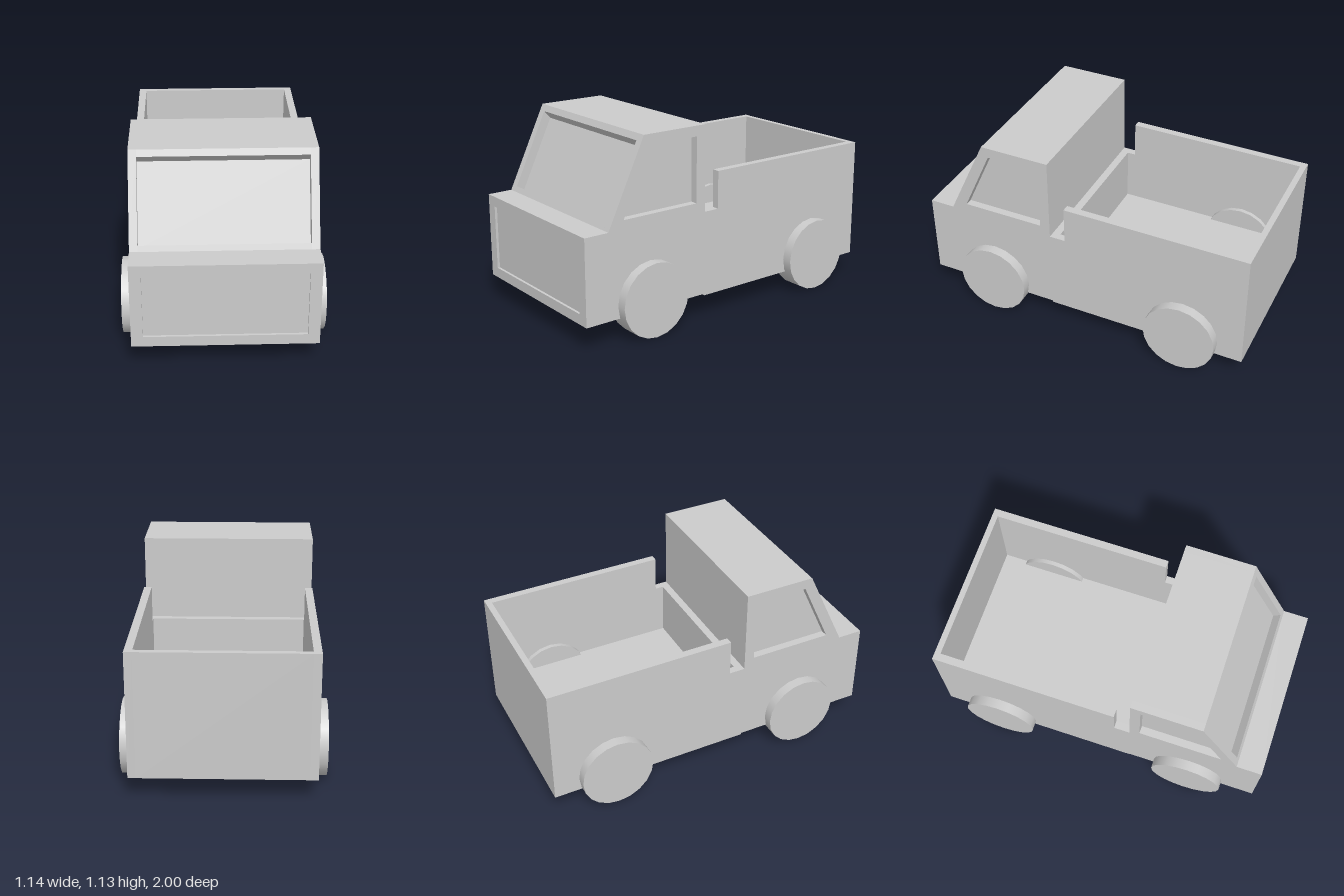
import * as THREE from 'three';

const HALF = 0.51;   // half width of the body
const INNER = 0.465; // where the side walls meet the core

const material = new THREE.MeshStandardMaterial({ color: 0xcccccc });

// Extrude a side profile of [z, y] points between two x positions
function slab(name, points, x0, x1, hole) {
  const toVectors = (list) => list.map(([z, y]) => new THREE.Vector2(z, y));
  const shape = new THREE.Shape(toVectors(points));
  if (hole) shape.holes.push(new THREE.Path(toVectors(hole)));
  const geometry = new THREE.ExtrudeGeometry(shape, { depth: x1 - x0, bevelEnabled: false });
  geometry.rotateY(-Math.PI / 2).translate(x1, 0, 0);
  const mesh = new THREE.Mesh(geometry, material);
  mesh.name = name;
  return mesh;
}

// Add a slab and its mirror image on the other side
function slabPair(group, name, points, x0, x1, hole) {
  group.add(slab(name + 'Left', points, x0, x1, hole));
  group.add(slab(name + 'Right', points, -x1, -x0, hole));
}

function createCab() {
  const cab = new THREE.Group();
  cab.name = 'cab';

  // Middle of the cab, with the front panel and windshield set back
  cab.add(slab('cabCore', [
    [0.2, 0.145], [1, 0.145],
    [1, 0.205], [0.985, 0.205], [0.985, 0.585], [1, 0.585],
    [1, 0.645], [0.85, 0.645],
    [0.836, 0.675], [0.796, 0.63], [0.592, 1.055], [0.632, 1.1],
    [0.615, 1.135], [0.2, 1.135],
  ], -INNER, INNER));

  // Sides with window openings
  slabPair(cab, 'cabSide', [
    [0.2, 0.145], [1, 0.145], [1, 0.645], [0.85, 0.645], [0.615, 1.135], [0.2, 1.135],
  ], INNER, HALF, [[0.26, 0.695], [0.26, 1.075], [0.575, 1.075], [0.752, 0.695]]);

  // Upright edges of the front panel
  slabPair(cab, 'frontPanelEdge', [
    [0.985, 0.205], [1, 0.205], [1, 0.585], [0.985, 0.585],
  ], 0.445, INNER);
  return cab;
}

function createBed() {
  const bed = new THREE.Group();
  bed.name = 'cargoBed';

  // Floor, tailgate and low front wall
  bed.add(slab('bedCore', [
    [-1, 0.135], [0.2, 0.135], [0.2, 0.635], [0.155, 0.635],
    [0.155, 0.31], [-0.965, 0.31], [-0.965, 0.855], [-1, 0.855],
  ], -INNER, INNER));

  // Side walls, stepped down behind the cab
  slabPair(bed, 'bedSide', [
    [-1, 0.135], [0.2, 0.135], [0.2, 0.635], [0.105, 0.635], [0.105, 0.855], [-1, 0.855],
  ], INNER, HALF);
  return bed;
}

function createWheels() {
  const wheels = new THREE.Group();
  wheels.name = 'wheels';
  const geometry = new THREE.CylinderGeometry(0.217, 0.217, 0.13, 20).rotateZ(Math.PI / 2);
  for (const [end, z] of [['front', 0.578], ['rear', -0.632]]) {
    for (const [side, sign] of [['Left', 1], ['Right', -1]]) {
      const wheel = new THREE.Mesh(geometry, material);
      wheel.name = end + 'Wheel' + side;
      wheel.position.set(sign * 0.504, 0.217, z);
      wheels.add(wheel);
    }
  }
  return wheels;
}

export function createModel() {
  const truck = new THREE.Group();
  truck.name = 'pickupTruck';
  truck.add(createCab(), createBed(), createWheels());
  return truck;
}
